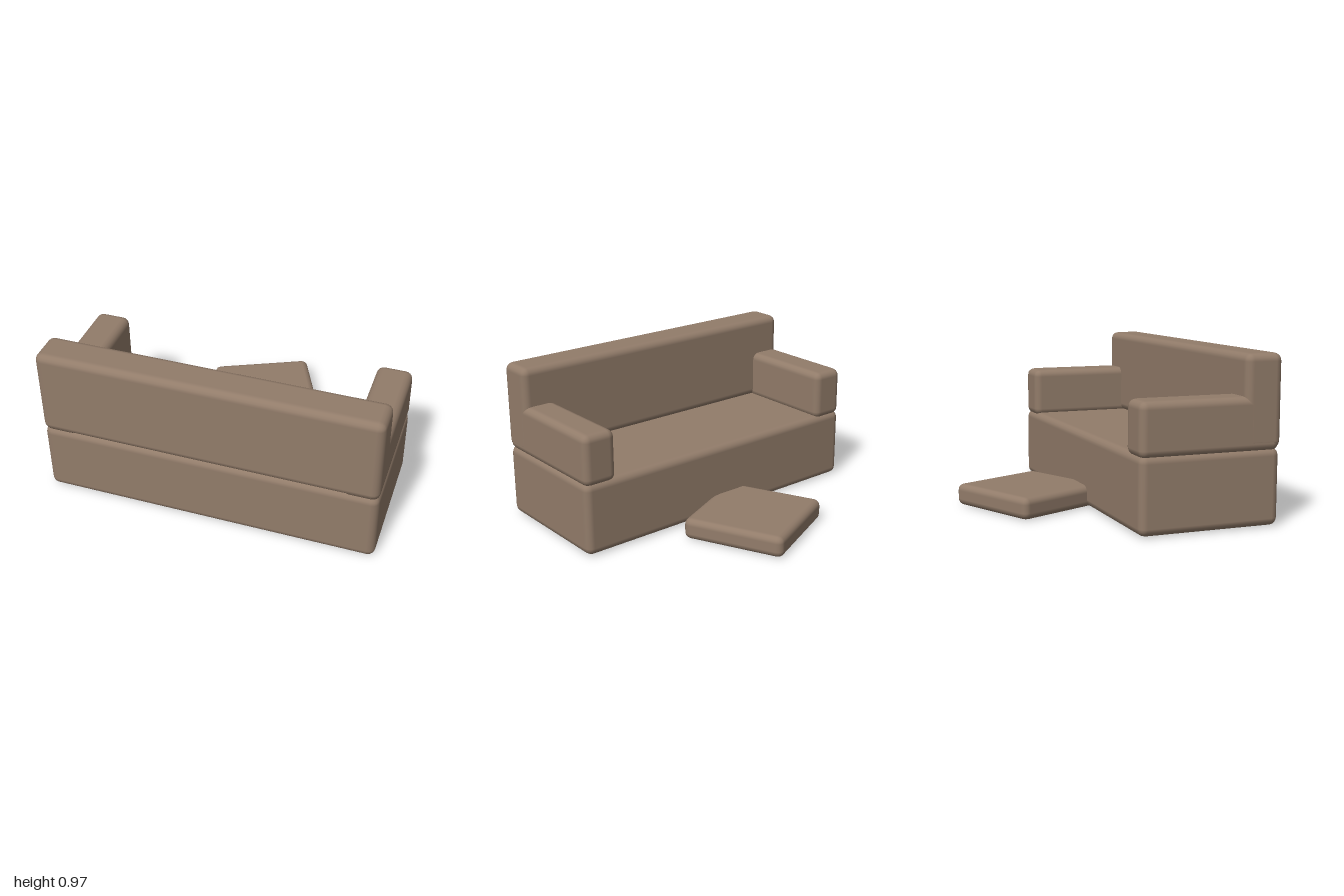
import * as THREE from 'three';
import { RoundedBoxGeometry } from 'three/addons/geometries/RoundedBoxGeometry.js';

export function createModel() {
  const sofa = new THREE.Group();
  sofa.name = 'sofa';
  const fabric = new THREE.MeshStandardMaterial({ color: 0x927c6a });
  fabric.name = 'brown fabric';

  // Softly rounded block given by its minimum and maximum corners
  function block(name, [x0, y0, z0], [x1, y1, z1], radius = 0.045) {
    const geometry = new RoundedBoxGeometry(x1 - x0, y1 - y0, z1 - z0, 2, radius);
    const mesh = new THREE.Mesh(geometry, fabric);
    mesh.name = name;
    mesh.position.set((x0 + x1) / 2, (y0 + y1) / 2, (z0 + z1) / 2);
    sofa.add(mesh);
    return mesh;
  }

  // Seat block and backrest; the seat opens towards -z
  block('seatBase', [-1, 0.003, -0.08], [1, 0.445, 0.762]);
  block('backrest', [-1, 0.438, 0.545], [1, 0.97, 0.77]);

  // Armrests, tucked into the backrest
  block('leftArmrest', [0.787, 0.425, -0.08], [0.999, 0.735, 0.762]);
  block('rightArmrest', [-0.999, 0.425, -0.08], [-0.787, 0.735, 0.762]);

  // Loose cushion lying at an angle on the floor
  const cushion = block('floorCushion', [-0.3, 0, -0.69], [0.33, 0.13, -0.06], 0.04);
  cushion.rotation.y = 0.43;

  return sofa;
}
